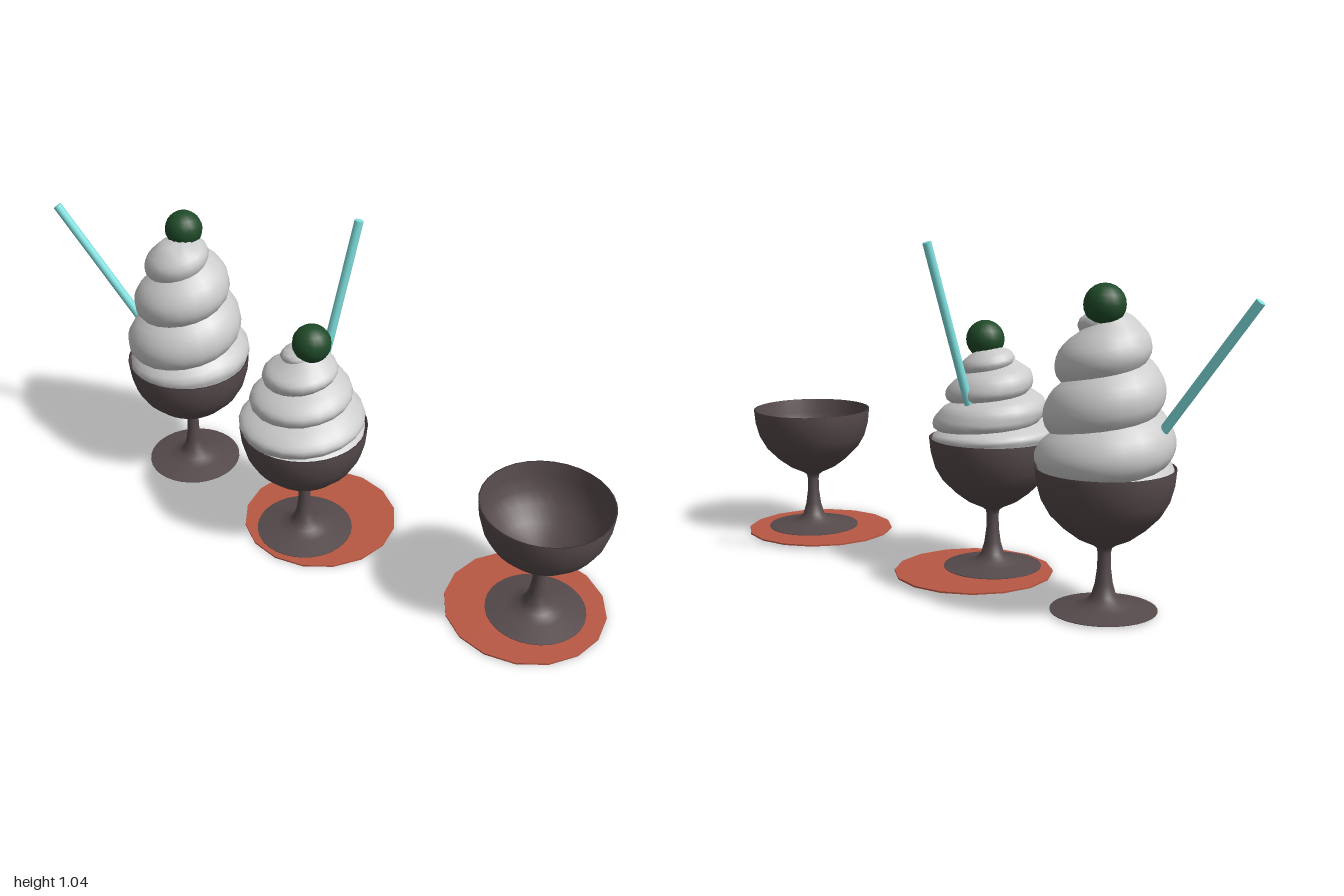
import * as THREE from 'three';

const paint = (color, side = THREE.FrontSide) => new THREE.MeshStandardMaterial({ color, side });
const glassMat = paint(0x564a4b, THREE.DoubleSide);
const creamMat = paint(0xcccccc, THREE.DoubleSide);
const cherryMat = paint(0x1f4a28);
const strawMat = paint(0x7fdfdf);
const coasterMat = paint(0xb85844);
const RIM = 0.425;

function add(parent, name, geometry, material, x = 0, y = 0, z = 0) {
  const mesh = new THREE.Mesh(geometry, material);
  mesh.name = name;
  mesh.position.set(x, y, z);
  parent.add(mesh);
  return mesh;
}

// Footed goblet: flared base, thin stem, outer bowl, rim, inner bowl
function gobletGeometry() {
  const profile = [
    [0.155, 0.006], [0.155, 0.009], [0.09, 0.019], [0.055, 0.03], [0.036, 0.05], [0.026, 0.085],
    [0.02, 0.13], [0.019, 0.175], [0.022, 0.19], [0.035, 0.2], [0.08, 0.221], [0.12, 0.251],
    [0.16, 0.291], [0.183, 0.331], [0.196, 0.378], [0.201, RIM],
    [0.196, RIM], [0.191, 0.378], [0.178, 0.333], [0.155, 0.295], [0.115, 0.256], [0.06, 0.222], [0, 0.21],
  ];
  return new THREE.LatheGeometry(profile.map(([r, y]) => new THREE.Vector2(r, y)), 32);
}

// Piecewise linear lookup of radius by height
function radiusAt(points, y) {
  for (let i = 1; i < points.length; i++) {
    const [y0, r0] = points[i - 1], [y1, r1] = points[i];
    if (y <= y1) return THREE.MathUtils.lerp(r0, r1, Math.max(0, (y - y0) / (y1 - y0)));
  }
  return 0;
}

// Helical band of rounded lobes, each turn resting on the one below
function swirlGeometry({ start, pitch, depth, outline }) {
  const top = outline[outline.length - 1][0];
  const perTurn = 20, across = 8;
  const turns = Math.ceil((top - start) / pitch) + 1;
  const steps = turns * perTurn;
  const positions = [], index = [];
  for (let i = 0; i <= steps; i++) {
    const angle = (i / perTurn) * Math.PI * 2;
    for (let j = 0; j <= across; j++) {
      const s = j / across;
      const y = THREE.MathUtils.clamp(start + pitch * (i / perTurn + s), 0.41, top);
      const lobe = Math.pow(Math.max(0, Math.sin(Math.PI * s)), 0.7);
      const taper = Math.min(1, (top - y) / 0.06);
      let r = Math.max(0, radiusAt(outline, y) - depth * (1 - lobe) * taper);
      r = Math.min(r, 0.192 + Math.max(0, y - RIM) * 0.6);
      positions.push(r * Math.cos(angle), y, -r * Math.sin(angle));
      if (i < steps && j < across) {
        const a = i * (across + 1) + j, b = a + across + 1;
        index.push(a, b, a + 1, b, b + 1, a + 1);
      }
    }
  }
  const geometry = new THREE.BufferGeometry();
  geometry.setAttribute('position', new THREE.Float32BufferAttribute(positions, 3));
  geometry.setIndex(index);
  geometry.computeVertexNormals();
  return geometry;
}

// Straight straw between two points
function addStraw(parent, from, to) {
  const a = new THREE.Vector3(...from), b = new THREE.Vector3(...to);
  const dir = b.clone().sub(a);
  const straw = add(parent, 'straw', new THREE.CylinderGeometry(0.014, 0.014, dir.length(), 12), strawMat);
  straw.position.copy(a).add(b).multiplyScalar(0.5);
  straw.quaternion.setFromUnitVectors(new THREE.Vector3(0, 1, 0), dir.normalize());
}

export function createModel() {
  const model = new THREE.Group();
  model.name = 'iceCreamSundaes';
  const goblet = gobletGeometry();

  const servings = [
    { name: 'emptyServing', at: [0.025, 0.78], coaster: [0.022, 0.745] },
    {
      name: 'shortSundae', at: [-0.07, -0.025], coaster: [0.004, -0.015],
      swirl: {
        start: 0.275, pitch: 0.09, depth: 0.034,
        outline: [[0.41, 0.21], [0.46, 0.203], [0.5, 0.175], [0.55, 0.162], [0.595, 0.134], [0.64, 0.118],
          [0.67, 0.088], [0.7, 0.055], [0.715, 0]],
      },
      cherry: [-0.064, 0.731, 0.003],
      straw: [[0.012, 0.38, -0.062], [0.178, 1.04, 0.005]],
    },
    {
      name: 'tallSundae', at: [0.017, -0.565],
      swirl: {
        start: 0.2495, pitch: 0.145, depth: 0.034,
        outline: [[0.41, 0.21], [0.467, 0.205], [0.54, 0.19], [0.62, 0.172], [0.69, 0.158], [0.757, 0.138],
          [0.81, 0.112], [0.85, 0.078], [0.868, 0.05], [0.872, 0]],
      },
      cherry: [0.048, 0.888, -0.579],
      straw: [[0, 0.41, -0.64], [-0.104, 0.913, -0.982]],
    },
  ];

  for (const { name, at, coaster, swirl, cherry, straw } of servings) {
    const group = new THREE.Group();
    group.name = name;
    model.add(group);
    add(group, 'goblet', goblet, glassMat, at[0], 0, at[1]);
    if (coaster) {
      add(group, 'coaster', new THREE.CylinderGeometry(0.25, 0.25, 0.005, 16), coasterMat, coaster[0], 0.0025, coaster[1]);
    }
    if (swirl) add(group, 'creamSwirl', swirlGeometry(swirl), creamMat, at[0], 0, at[1]);
    if (cherry) add(group, 'cherry', new THREE.SphereGeometry(0.06, 16, 12), cherryMat, ...cherry);
    if (straw) addStraw(group, ...straw);
  }
  return model;
}
